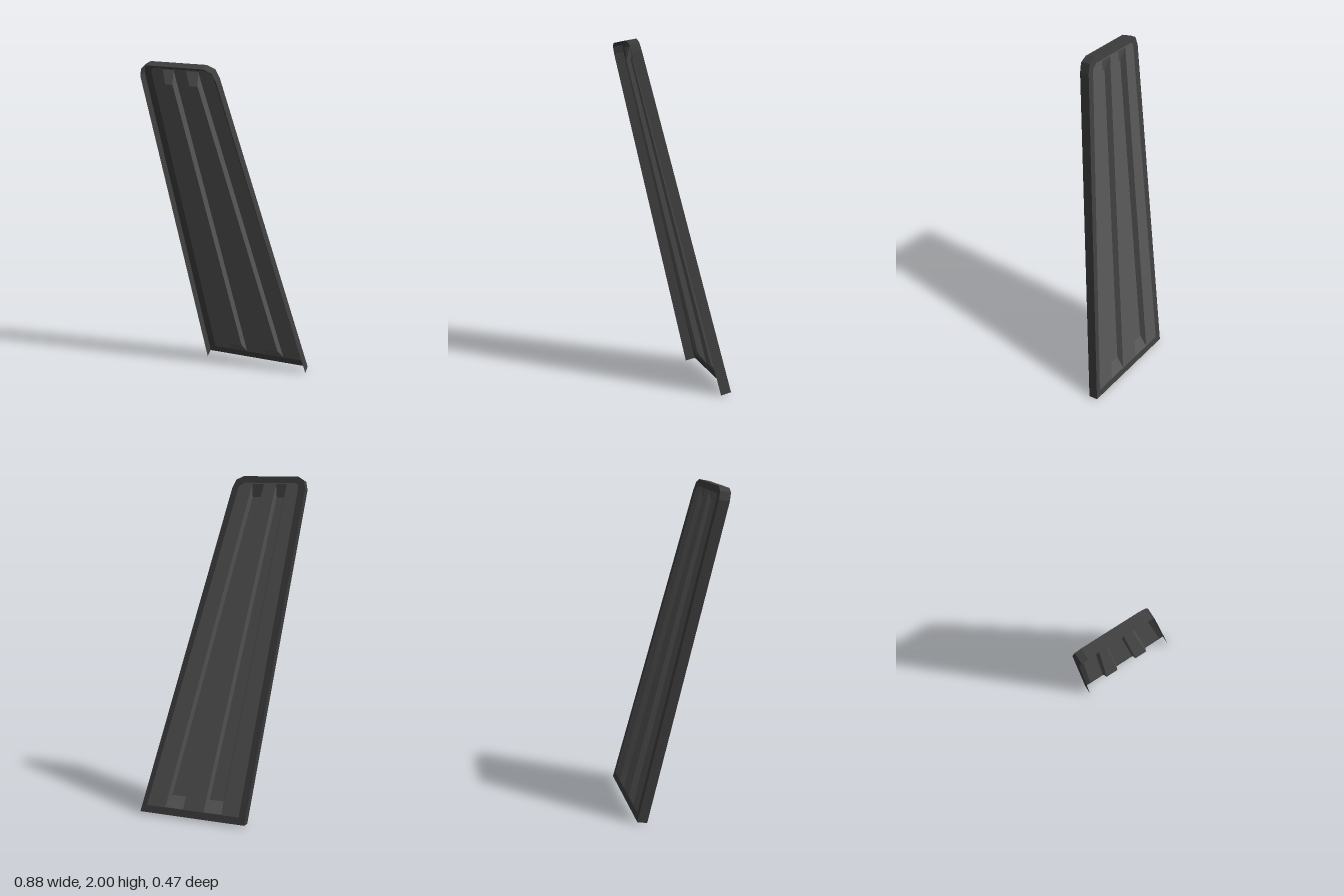
import * as THREE from 'three';

const BOTTOM = 0.0125, DEPTH = 0.0612;
const rimMat = new THREE.MeshStandardMaterial({ color: 0x3e3e3e, side: THREE.DoubleSide });
const panelMat = new THREE.MeshStandardMaterial({ color: 0x555555, side: THREE.DoubleSide });

// Lean the flat sheet forward; z holds the depth measured from the back face.
function lean(geo) {
  const p = geo.attributes.position;
  for (let i = 0; i < p.count; i++) {
    const y = p.getY(i), d = p.getZ(i);
    p.setXYZ(i, p.getX(i), y - 0.204 * d, -0.235 + (y - BOTTOM) * 0.2065 + 0.98 * d);
  }
  geo.computeVertexNormals();
  return geo;
}

// Flat-shaded faces from quads of [x, y, depth] corners
function quads(list) {
  const pos = [];
  for (const [a, b, c, d] of list) pos.push(...a, ...b, ...c, ...a, ...c, ...d);
  const geo = new THREE.BufferGeometry();
  geo.setAttribute('position', new THREE.Float32BufferAttribute(pos, 3));
  return lean(geo);
}

const path = (pts, Type = THREE.Shape) => new Type(pts.map(([x, y]) => new THREE.Vector2(x, y)));

export function createModel() {
  const group = new THREE.Group();
  const add = (name, geo, mat) => {
    const mesh = new THREE.Mesh(geo, mat);
    mesh.name = name;
    group.add(mesh);
  };

  // Outlines, counter-clockwise from the bottom right corner
  const outer = [[0.44, BOTTOM], [-0.008, 1.93], [-0.03, 1.98], [-0.075, 2],
    [-0.4, 2], [-0.435, 1.98], [-0.445, 1.935], [-0.22, BOTTOM]];
  const inner = [[0.4, 0.055], [-0.038, 1.9], [-0.048, 1.94], [-0.08, 1.963],
    [-0.385, 1.963], [-0.401, 1.955], [-0.405, 1.935], [-0.183, 0.055]];

  // Border around the sheet
  const rim = path(outer);
  rim.holes.push(path(inner, THREE.Path));
  add('rim', lean(new THREE.ShapeGeometry(rim)), rimMat);

  // Folded edge along both sides and the top, open at the bottom
  const fold = [];
  for (let i = 0; i < outer.length - 1; i++) {
    const a = outer[i], b = outer[i + 1];
    fold.push([[...a, 0], [...b, 0], [...b, DEPTH], [...a, DEPTH]]);
  }
  add('edgeFlange', quads(fold), rimMat);

  // Two tapering grooves: [bottom left, bottom right, top left, top right] x
  const panel = path(inner);
  const y0 = 0.058, y1 = 1.957, grooveDepth = 0.034, slope = 0.07;
  [[-0.078, 0.036, -0.336, -0.272], [0.166, 0.28, -0.2, -0.13]].forEach(([bl, br, tl, tr], i) => {
    const at = (l, h, y) => l + (h - l) * (y - y0) / (y1 - y0);
    const top = [[bl, y0], [br, y0], [tr, y1], [tl, y1]];
    panel.holes.push(path(top, THREE.Path));
    const ya = y0 + slope, yb = y1 - slope, inset = 0.012;
    const floor = [
      [at(bl, tl, ya) + inset, ya], [at(br, tr, ya) - inset, ya],
      [at(br, tr, yb) - inset, yb], [at(bl, tl, yb) + inset, yb]
    ].map(p => [...p, grooveDepth]);
    const faces = [floor];
    for (let k = 0; k < 4; k++) {
      const n = (k + 1) % 4;
      faces.push([[...top[k], 0], [...top[n], 0], floor[n], floor[k]]);
    }
    add(i ? 'leftGroove' : 'rightGroove', quads(faces), panelMat);
  });

  // Main sheet with openings where the grooves are pressed in
  add('panel', lean(new THREE.ShapeGeometry(panel)), panelMat);
  return group;
}
